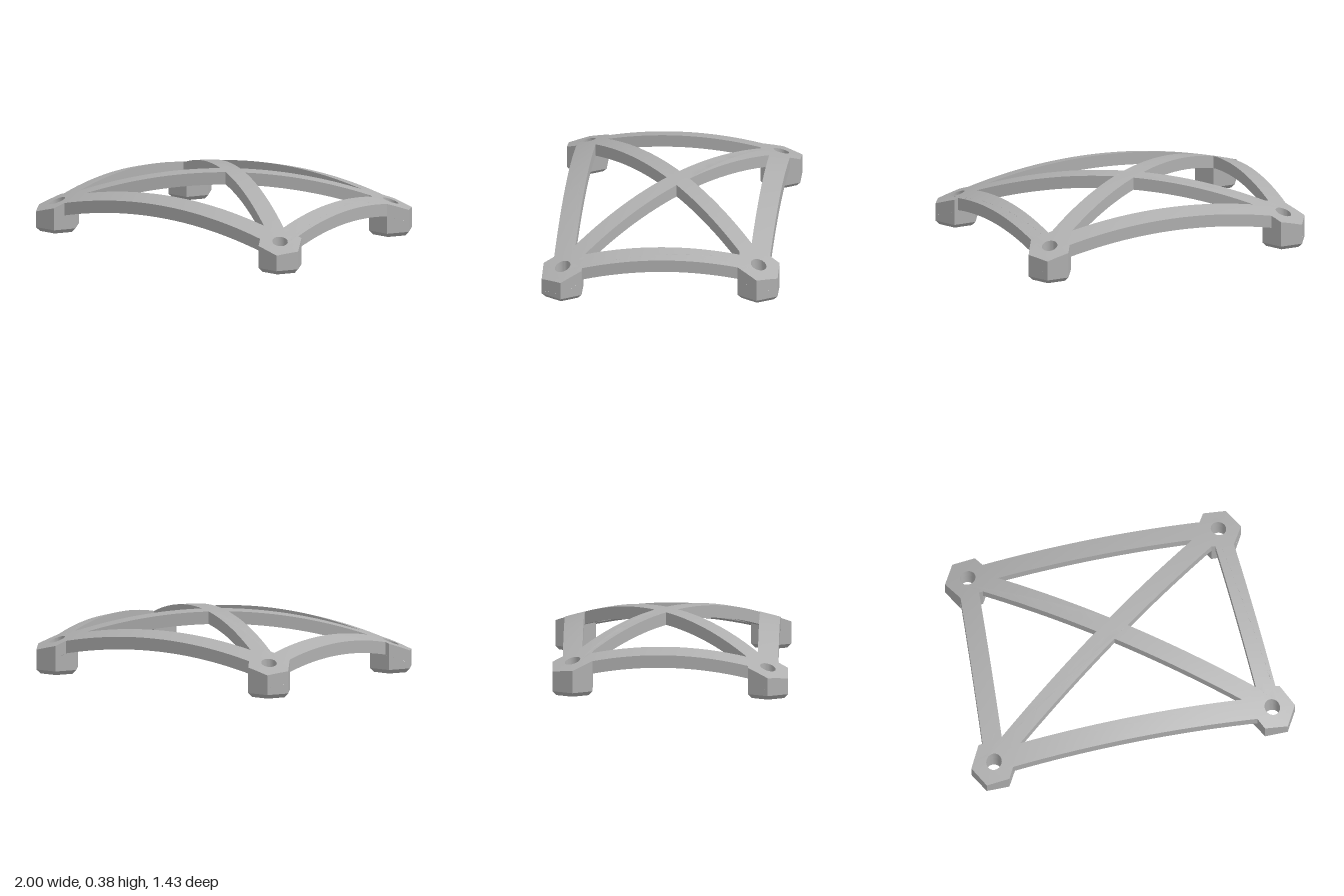
import * as THREE from 'three';
import { toCreasedNormals } from 'three/addons/utils/BufferGeometryUtils.js';

const STEP = 0.07;       // longest edge on curved surfaces
const THICK = 0.077;     // vertical thickness of the domed frame
const FOOT_R = 0.14, HOLE_R = 0.047, CHAMFER = 0.026;
const FEET = [[0.86, 0.59], [0.775, -0.593]];

// Height rules, all in plan coordinates (x, z)
const top = (x, z) => 0.379 - 0.165 * x * x - 0.224 * z * z;
const under = (x, z) => top(x, z) - THICK;
const flat = (h) => () => h;

const ring = (cx, cz, r, n) => Array.from({ length: n }, (_, i) => {
  const a = (i / n) * Math.PI * 2;
  return new THREE.Vector2(cx + r * Math.cos(a), cz + r * Math.sin(a));
});
const points = (list) => list.map(([x, z]) => new THREE.Vector2(x, z));
const mirrored = (list) => list.map(([x, z]) => [-x, z]).reverse();
const wind = (pts, ccw) => ((THREE.ShapeUtils.area(pts) > 0) === ccw ? pts : pts.slice().reverse());

// Horizontal skin over an outline with holes, split finely to follow a height rule
function addSkin(out, outline, holes, height, facesUp) {
  const all = [outline, ...holes].flat();
  const put = (p) => out.push(p.x, height(p.x, p.y), p.y);
  const split = (a, b, c) => {
    const ab = a.distanceTo(b), bc = b.distanceTo(c), ca = c.distanceTo(a);
    const longest = Math.max(ab, bc, ca);
    if (longest <= STEP) {
      const ccw = (b.x - a.x) * (c.y - a.y) - (b.y - a.y) * (c.x - a.x) > 0;
      (ccw === facesUp ? [a, c, b] : [a, b, c]).forEach(put);
      return;
    }
    // Turn the triangle so its longest edge runs from p to q, then halve that edge
    let [p, q, r] = [a, b, c];
    if (ab < longest) [p, q, r] = bc === longest ? [b, c, a] : [c, a, b];
    const m = p.clone().add(q).multiplyScalar(0.5);
    split(p, m, r);
    split(m, q, r);
  };
  for (const [i, j, k] of THREE.ShapeUtils.triangulateShape(outline, holes)) split(all[i], all[j], all[k]);
}

// Wall round a closed outline, from a low loop up to a high loop
function addWall(out, low, lowY, high, highY) {
  low.forEach((a, i) => {
    const j = (i + 1) % low.length;
    const n = 2 ** Math.max(0, Math.ceil(Math.log2(a.distanceTo(low[j]) / STEP)));
    const at = (from, to, t, h) => {
      const p = from.clone().lerp(to, t);
      return [p.x, h(p.x, p.y), p.y];
    };
    for (let s = 0; s < n; s++) {
      const [t, u] = [s / n, (s + 1) / n];
      const a0 = at(a, low[j], t, lowY), b0 = at(a, low[j], u, lowY);
      const a1 = at(high[i], high[j], t, highY), b1 = at(high[i], high[j], u, highY);
      out.push(...a0, ...a1, ...b1, ...a0, ...b1, ...b0);
    }
  });
}

function makeMesh(name, positions, material) {
  const geometry = new THREE.BufferGeometry();
  geometry.setAttribute('position', new THREE.Float32BufferAttribute(positions, 3));
  const mesh = new THREE.Mesh(toCreasedNormals(geometry, 0.5), material);
  mesh.name = name;
  return mesh;
}

// Domed frame: four edge bars and a diagonal cross, joined by hexagonal corners
function makeFrame(material) {
  const [[fx, fz], [bx, bz]] = FEET;
  const r = FOOT_R, h = r / 2, d = r * Math.sqrt(3) / 2;
  const half = [
    [bx - 0.105, bz - d / 2], [bx - h, bz - d], [bx + h, bz - d], [bx + r, bz], [bx + h, bz + d],
    [fx + 0.045, fz - d], [fx + h, fz - d], [fx + r, fz], [fx + h, fz + d], [fx - h, fz + d],
    [fx - 0.105, fz + d / 2],
  ];
  const outline = wind(points([...half, ...mirrored(half)]), true);
  const side = [[0.097, -0.035], [0.785, 0.461], [bx - 0.045, bz + d], [bx - h, bz + d]];
  const openings = [
    [[-0.685, 0.527], [0.685, 0.527], [0, 0.035]],
    [[-0.6, -0.535], [0, -0.105], [0.6, -0.535]],
    side, mirrored(side),
  ].map(points);
  const bores = FEET.flatMap(([x, z]) => [ring(x, z, HOLE_R, 32), ring(-x, z, HOLE_R, 32)]);
  const holes = [...openings, ...bores].map((p) => wind(p, false));
  const out = [];
  addSkin(out, outline, holes, top, true);
  addSkin(out, outline, holes, under, false);
  for (const loop of [outline, ...holes]) addWall(out, loop, under, loop, top);
  return makeMesh('domedFrame', out, material);
}

// Hexagonal foot with a chamfered base and a through bore
function makeFoot(name, x, z, material) {
  const hex = ring(x, z, FOOT_R, 6);
  const base = ring(x, z, FOOT_R - 0.027, 6);
  const bore = wind(ring(x, z, HOLE_R, 32), false);
  const out = [];
  addWall(out, hex, flat(CHAMFER), hex, under);
  addWall(out, base, flat(0), hex, flat(CHAMFER));
  addWall(out, bore, flat(0), bore, under);
  addSkin(out, base, [bore], flat(0), false);
  return makeMesh(name, out, material);
}

export function createModel() {
  const grey = new THREE.MeshStandardMaterial({ color: 0xb0b0b0 });
  grey.name = 'grey';
  const model = new THREE.Group();
  model.name = 'domedCornerFrame';
  model.add(makeFrame(grey));
  FEET.forEach(([x, z], i) => {
    const end = i === 0 ? 'front' : 'rear';
    model.add(makeFoot(`${end}LeftFoot`, x, z, grey), makeFoot(`${end}RightFoot`, -x, z, grey));
  });
  return model;
}
